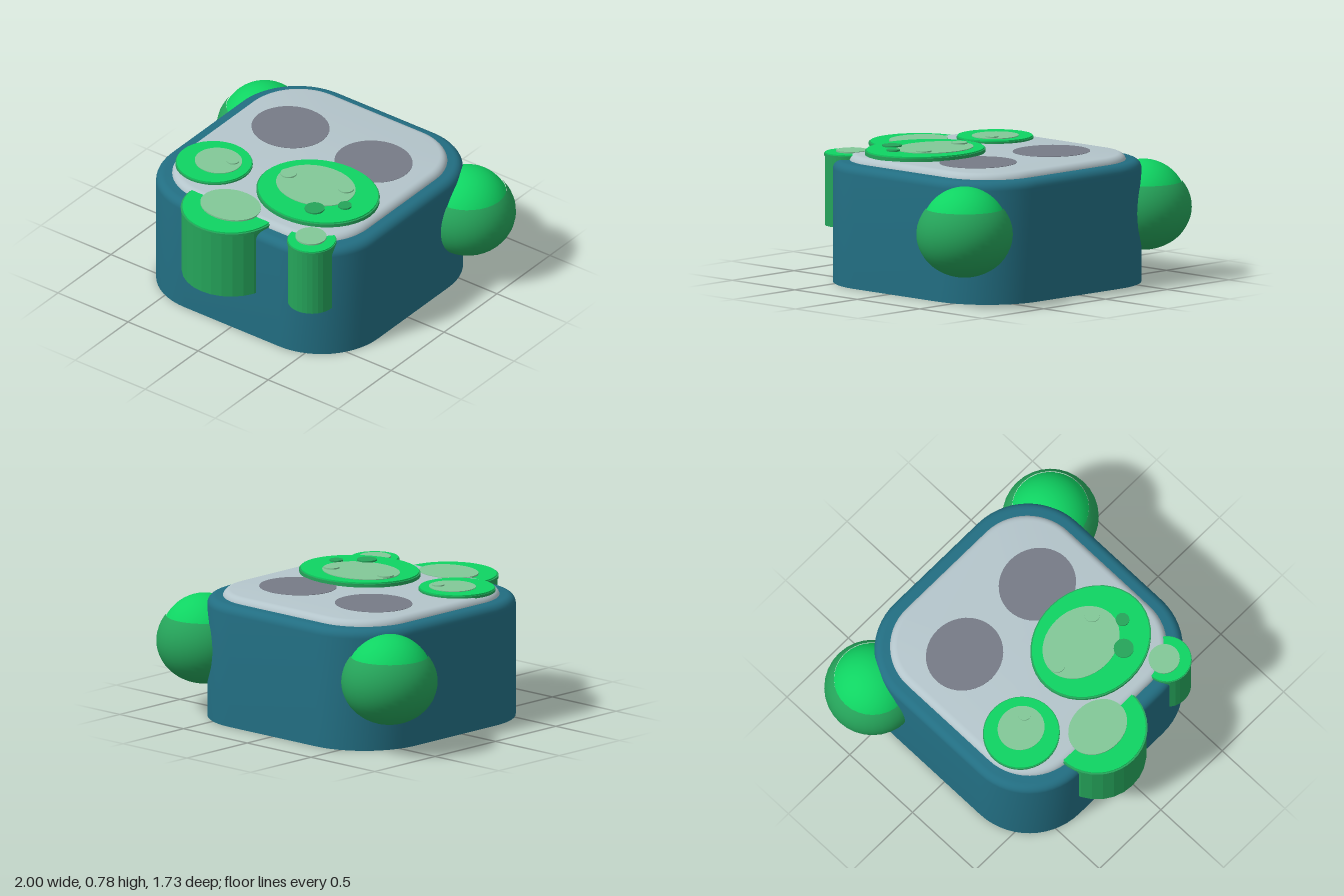
import * as THREE from 'three';
import { toCreasedNormals } from 'three/addons/utils/BufferGeometryUtils.js';

const mat = (name, color) => {
  const m = new THREE.MeshStandardMaterial({ color });
  m.name = name;
  return m;
};

export function createModel() {
  const model = new THREE.Group();
  model.name = 'frogBlock';
  const teal = mat('teal', 0x226e82);
  const paleGrey = mat('paleGrey', 0xb4c5cb);
  const darkGrey = mat('darkGrey', 0x767b87);
  const brightGreen = mat('brightGreen', 0x0fd462);
  const midGreen = mat('midGreen', 0x25a45a);
  const paleGreen = mat('paleGreen', 0x82c898);

  const add = (parent, name, geo, material, x = 0, y = 0, z = 0) => {
    const m = new THREE.Mesh(geo, material);
    m.name = name;
    m.position.set(x, y, z);
    parent.add(m);
    return m;
  };

  // Closed block with a rounded-square plan and a rounded top edge
  const roundedBlock = (hw, hd, radius, y0, y1, bevel) => {
    const seg = 14, rings = [[y0, 0]];
    for (let i = 0; i <= 6; i++) {
      const a = (i / 6) * Math.PI / 2;
      rings.push([y1 - bevel + bevel * Math.sin(a), bevel * (1 - Math.cos(a))]);
    }
    const pos = [], idx = [], n = 4 * (seg + 1);
    for (const [y, inset] of rings) {
      for (let c = 0; c < 4; c++) {
        const sx = c === 0 || c === 3 ? 1 : -1, sz = c < 2 ? 1 : -1;
        for (let i = 0; i <= seg; i++) {
          const a = (c + i / seg) * Math.PI / 2;
          pos.push(sx * (hw - radius) + (radius - inset) * Math.cos(a), y,
            sz * (hd - radius) + (radius - inset) * Math.sin(a));
        }
      }
    }
    for (let r = 0; r < rings.length - 1; r++) {
      for (let i = 0; i < n; i++) {
        const a = r * n + i, b = r * n + (i + 1) % n;
        idx.push(a, a + n, b, b, a + n, b + n);
      }
    }
    // Bottom and top caps
    const last = (rings.length - 1) * n, bottom = pos.length / 3;
    pos.push(0, y0, 0, 0, y1, 0);
    for (let i = 0; i < n; i++) {
      const j = (i + 1) % n;
      idx.push(bottom, i, j, bottom + 1, last + j, last + i);
    }
    const g = new THREE.BufferGeometry();
    g.setAttribute('position', new THREE.Float32BufferAttribute(pos, 3));
    g.setIndex(idx);
    return toCreasedNormals(g, 0.6);
  };

  // Upright elliptical disc from y0 to y1
  const disc = (parent, name, material, x, z, rx, rz, y0, y1, sides = 40) => {
    const g = new THREE.CylinderGeometry(1, 1, y1 - y0, sides);
    g.scale(rx, 1, rz);
    return add(parent, name, g, material, x, (y0 + y1) / 2, z);
  };

  // Body and the raised face plate
  add(model, 'body', roundedBlock(0.74, 0.737, 0.4, 0, 0.705, 0.05), teal, 0, 0, -0.053);
  add(model, 'facePlate', roundedBlock(0.655, 0.655, 0.33, 0.68, 0.74, 0.045), paleGrey, 0, 0, -0.055);

  // Dark spots on the plate
  for (const x of [-0.3, 0.293]) {
    disc(model, 'darkSpot', darkGrey, x, -0.27, 0.228, 0.213, 0.736, 0.742);
  }

  // Rear side balls with bright caps
  for (const side of [1, -1]) {
    const ball = new THREE.Group();
    ball.name = side > 0 ? 'leftBall' : 'rightBall';
    ball.position.set(side * 0.725, 0.41, -0.588);
    const lower = new THREE.SphereGeometry(1, 32, 20, 0, Math.PI * 2, 0.93, Math.PI - 0.93);
    lower.scale(0.275, 0.247, 0.275);
    add(ball, 'ballBase', lower, midGreen);
    const cap = new THREE.SphereGeometry(1, 32, 12, 0, Math.PI * 2, 0, 1.03);
    cap.scale(0.256, 0.272, 0.256);
    add(ball, 'ballCap', cap, brightGreen);
    model.add(ball);
  }

  // Raised pads: green base, bright top, pale patch
  const pad = (name, x, z, rx, rz, y, px, pz, prx, prz) => {
    const g = new THREE.Group();
    g.name = name;
    disc(g, 'padBase', midGreen, x, z, rx, rz, 0.735, y - 0.008);
    disc(g, 'padTop', brightGreen, x, z, rx * 0.975, rz * 0.975, y - 0.01, y);
    disc(g, 'padPatch', paleGreen, px, pz, prx, prz, y - 0.004, y + 0.004);
    model.add(g);
    return g;
  };
  const large = pad('largePad', 0.25, 0.197, 0.37, 0.317, 0.768, 0.207, 0.162, 0.243, 0.195);
  const small = pad('smallPad', -0.417, 0.297, 0.222, 0.217, 0.758, -0.4, 0.278, 0.138, 0.13);

  // Dots on the pads
  for (const [x, z, r, m] of [[0.47, 0.235, 0.039, midGreen], [0.35, 0.362, 0.057, midGreen],
    [0.012, 0.16, 0.047, paleGreen], [0.37, 0.09, 0.045, paleGreen]]) {
    disc(large, 'dot', m, x, z, r, r, 0.771, 0.78, 24);
  }
  disc(small, 'dot', paleGreen, -0.33, 0.235, 0.036, 0.036, 0.76, 0.769, 24);

  // Faceted posts let into the front wall
  const post = (name, x, z, r, y0, px, pz, prx, prz) => {
    const g = new THREE.Group();
    g.name = name;
    const column = new THREE.CylinderGeometry(r * 0.98, r * 0.98, 0.725 - y0, 28);
    add(g, 'postColumn', toCreasedNormals(column, 0.1), midGreen, x, (0.725 + y0) / 2, z);
    disc(g, 'postRim', midGreen, x, z, r, r, 0.71, 0.725);
    disc(g, 'postTop', brightGreen, x, z, r * 0.965, r * 0.965, 0.724, 0.732);
    disc(g, 'postPatch', paleGreen, px, pz, prx, prz, 0.734, 0.743);
    model.add(g);
  };
  post('largePost', -0.085, 0.575, 0.288, 0.298, -0.085, 0.58, 0.185, 0.15);
  post('smallPost', 0.488, 0.572, 0.141, 0.312, 0.475, 0.562, 0.09, 0.088);

  return model;
}
